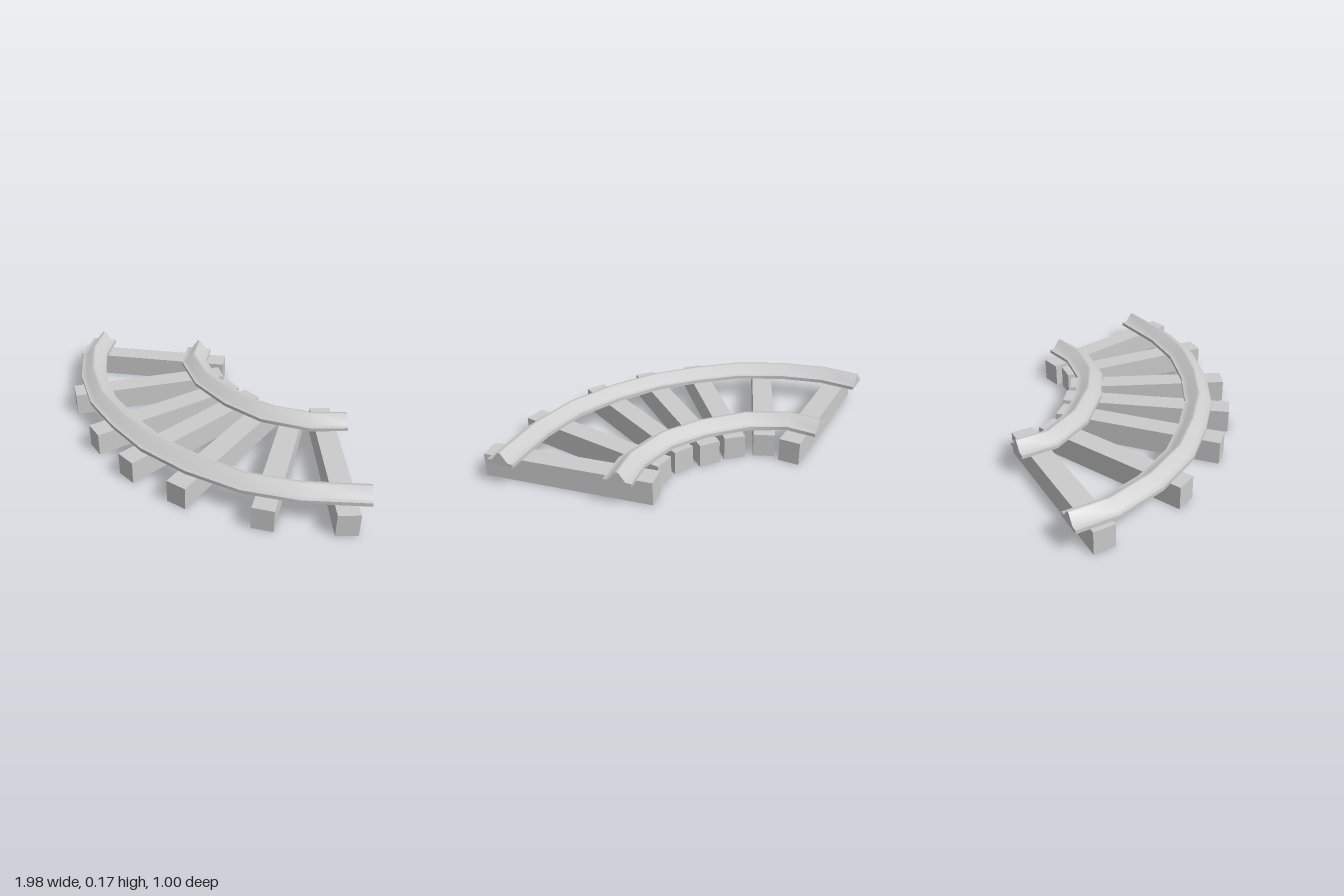
import * as THREE from 'three';
import { toCreasedNormals } from 'three/addons/utils/BufferGeometryUtils.js';

const TIE_WIDTH = 0.1, TIE_HEIGHT = 0.113;

// Tie ends: inner x, z, outer x, z
const TIES = [
  [-0.31, -0.46, -0.95, 0.025],
  [-0.235, -0.36, -0.62, 0.325],
  [-0.1, -0.32, -0.265, 0.47],
  [0.03, -0.32, 0.013, 0.5],
  [0.16, -0.315, 0.31, 0.46],
  [0.28, -0.37, 0.68, 0.305],
  [0.36, -0.465, 0.95, 0.075],
];

// Centre lines of the rails (x, z), from right to left of the model
const OUTER_RAIL = [
  [-0.945, -0.117], [-0.837, 0.032], [-0.655, 0.176], [-0.436, 0.283], [-0.209, 0.329],
  [0.019, 0.348], [0.27, 0.315], [0.513, 0.238], [0.722, 0.11], [0.939, -0.088],
];
const INNER_RAIL = [
  [-0.489, -0.438], [-0.396, -0.313], [-0.206, -0.225], [0.019, -0.2],
  [0.222, -0.225], [0.417, -0.326], [0.532, -0.449],
];

// Rail section (sideways, y): flat flange with a tapering head
const SECTION = [
  [0, 0.113], [0.065, 0.113], [0.065, 0.13], [0.038, 0.132], [0.007, 0.175],
  [-0.007, 0.175], [-0.038, 0.132], [-0.065, 0.13], [-0.065, 0.113],
];

// Sweeps the section along a path with mitred joints and closed ends
function railGeometry(path) {
  const pts = path.map(([x, z]) => new THREE.Vector2(x, z));
  const n = SECTION.length, last = pts.length - 1;
  const positions = [], index = [];
  pts.forEach((p, i) => {
    const before = p.clone().sub(pts[Math.max(i - 1, 0)]).normalize();
    const after = pts[Math.min(i + 1, last)].clone().sub(p).normalize();
    const dir = before.clone().add(after).normalize();
    const mitre = 1 / dir.dot(i < last ? after : before);
    for (const [s, y] of SECTION) {
      positions.push(p.x - dir.y * s * mitre, y, p.y + dir.x * s * mitre);
    }
  });
  for (let i = 0; i < last; i++) {
    for (let j = 0; j < n; j++) {
      const a = i * n + j, b = i * n + (j + 1) % n;
      index.push(a, a + n, b, b, a + n, b + n);
    }
  }
  const end = last * n;
  for (let j = 1; j < n - 1; j++) {
    index.push(0, j, j + 1, end, end + j + 1, end + j);
  }
  const geometry = new THREE.BufferGeometry();
  geometry.setAttribute('position', new THREE.Float32BufferAttribute(positions, 3));
  geometry.setIndex(index);
  return toCreasedNormals(geometry, 1.1);
}

export function createModel() {
  const group = new THREE.Group();
  const material = new THREE.MeshStandardMaterial({ color: 0xcccccc });

  // Ties fanned out under the rails
  const ties = new THREE.Group();
  ties.name = 'ties';
  TIES.forEach(([x0, z0, x1, z1], i) => {
    const length = Math.hypot(x1 - x0, z1 - z0);
    const tie = new THREE.Mesh(new THREE.BoxGeometry(TIE_WIDTH, TIE_HEIGHT, length), material);
    tie.name = `tie${i + 1}`;
    tie.position.set((x0 + x1) / 2, TIE_HEIGHT / 2, (z0 + z1) / 2);
    tie.rotation.y = Math.atan2(x1 - x0, z1 - z0);
    ties.add(tie);
  });
  group.add(ties);

  // Curved rails
  for (const [name, path] of [['outerRail', OUTER_RAIL], ['innerRail', INNER_RAIL]]) {
    const rail = new THREE.Mesh(railGeometry(path), material);
    rail.name = name;
    group.add(rail);
  }
  return group;
}
